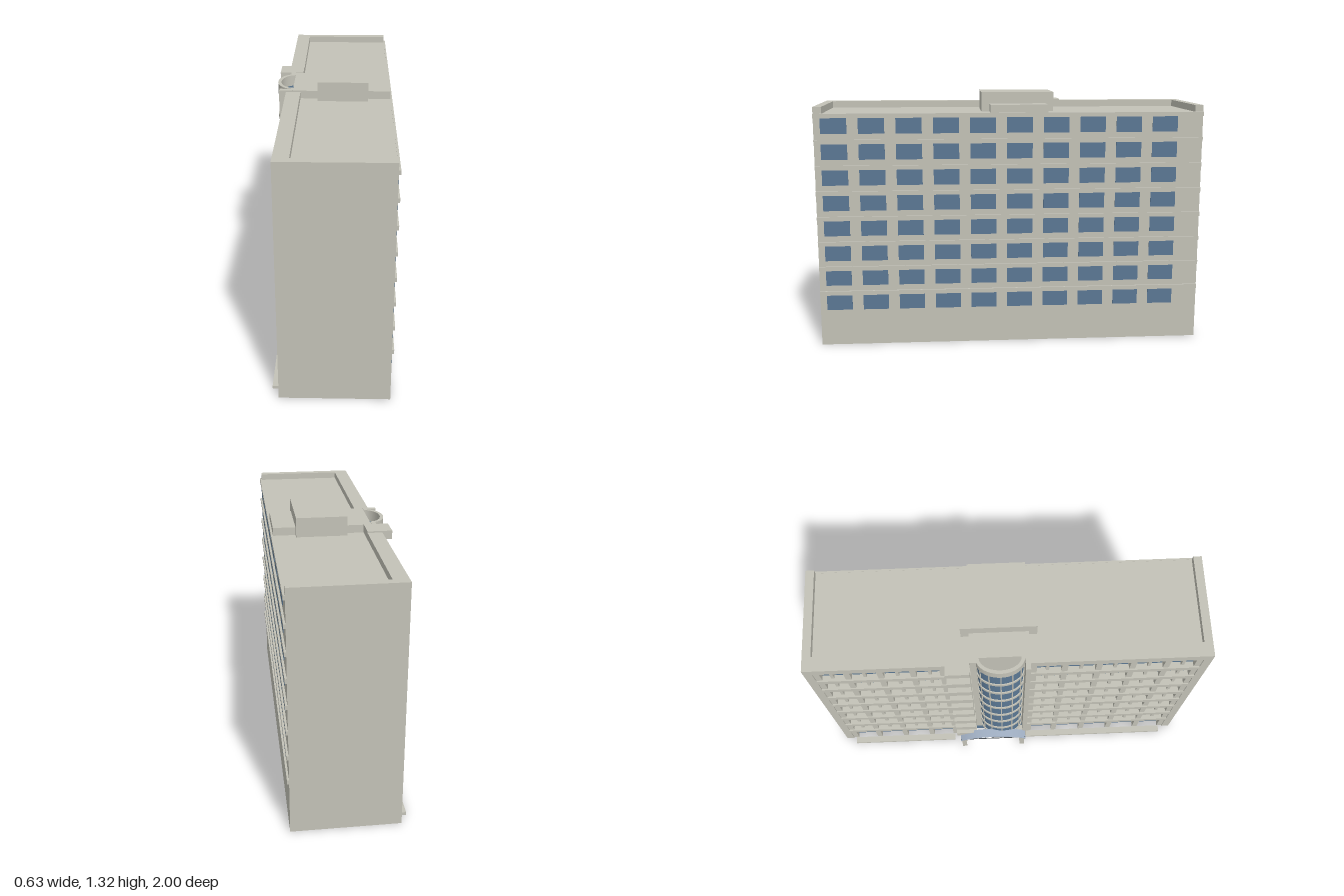
import * as THREE from 'three';

export function createModel() {
  const model = new THREE.Group();
  const concrete = new THREE.MeshStandardMaterial({ color: 0xc3c2b7 });
  concrete.name = 'concrete';
  const glass = new THREE.MeshStandardMaterial({ color: 0x5b7894 });
  glass.name = 'window glass';
  const canopyGlass = new THREE.MeshStandardMaterial({ color: 0xa3b2c6, side: THREE.DoubleSide });
  canopyGlass.name = 'canopy glass';
  const metal = new THREE.MeshStandardMaterial({ color: 0x4a4f55 });
  metal.name = 'dark metal';

  const add = (name, geometry, material) => {
    const mesh = new THREE.Mesh(geometry, material);
    mesh.name = name;
    model.add(mesh);
    return mesh;
  };
  // Box given by its limits on each axis
  const box = (name, x0, x1, y0, y1, z0, z1, material = concrete) => {
    const m = add(name, new THREE.BoxGeometry(x1 - x0, y1 - y0, z1 - z0), material);
    m.position.set((x0 + x1) / 2, (y0 + y1) / 2, (z0 + z1) / 2);
    return m;
  };

  const FLOORS = 8, STEP = 0.132, BAY = 0.189;
  const WALL = -0.2, FACE = -0.235, RIGHT = 0.305;

  // Main block, end walls and roof edges
  box('mainBlock', WALL, RIGHT, 0, 1.215, -1, 1);
  for (const s of [-1, 1]) {
    const a = s < 0 ? -1 : 0.957, b = s < 0 ? -0.957 : 1;
    box('endWall', FACE, WALL, 0, 1.2, a, b);
    box('endParapet', -0.16, RIGHT, 1.215, 1.25, a, b);
  }
  box('sideParapet', FACE, -0.16, 1.2, 1.25, -1, -0.19);
  box('sideParapet', FACE, -0.16, 1.2, 1.25, 0.105, 1);

  // Rooftop plant room on its low cross block
  box('roofCrossBlock', WALL, RIGHT, 1.21, 1.256, -0.19, 0.105);
  box('plantRoom', -0.07, 0.19, 1.215, 1.315, -0.23, 0.147);

  // Plain long side: window grid with a ledge above each row
  for (let f = 0; f < FLOORS; f++) {
    const y = 0.19 + f * STEP;
    box('windowLedge', RIGHT, 0.315, y + 0.08, y + 0.102, -1, 1);
    for (let i = 0; i < 10; i++) {
      const z = 0.9 - i * BAY;
      box('sideWindow', RIGHT, 0.308, y, y + 0.08, z - 0.066, z + 0.066, glass);
    }
  }

  // Gallery side: two wings with bands, columns and recessed windows
  const wings = [[-0.957, -0.31, 4], [0.11, 0.957, 5]];
  for (const [z0, z1, bays] of wings) {
    const bay = (z1 - z0) / bays;
    box('groundGlass', WALL - 0.004, WALL, 0.01, 0.14, z0, z1, glass);
    for (let f = 0; f <= FLOORS; f++) {
      const y = 0.14 + f * STEP;
      if (f < FLOORS) {
        box('galleryBand', -0.237, WALL, y, y + 0.035, z0, z1);
        for (let i = 0; i < bays; i++) {
          const z = z0 + (i + 0.5) * bay;
          box('galleryWindow', WALL - 0.004, WALL, y + 0.035, y + STEP - 0.008, z - bay * 0.4, z + bay * 0.4, glass);
          box('windowMullion', WALL - 0.02, WALL, y + 0.035, y + STEP, z - 0.008, z + 0.008);
        }
      }
    }
    for (let i = 0; i <= bays; i++) {
      const z = THREE.MathUtils.clamp(z0 + i * bay, z0 + 0.015, z1 - 0.015);
      box('galleryColumn', -0.23, WALL, 0, 1.2, z - 0.015, z + 0.015);
    }
  }
  box('groundLedge', -0.27, FACE, 0, 0.016, -0.94, -0.33);
  box('groundLedge', -0.27, FACE, 0, 0.016, 0.11, 0.932);

  // Entrance glazing behind the canopy
  box('entranceGlass', WALL - 0.004, WALL, 0.005, 0.135, -0.3, 0.085, glass);

  // Stack of balconies with doors, and the slab above them
  for (let f = 0; f < FLOORS; f++) {
    const y = 0.14 + f * STEP;
    box('balcony', -0.283, WALL, y, y + 0.05, -0.31, -0.19);
    box('balconyDoor', WALL - 0.004, WALL, y + 0.05, y + 0.122, -0.295, -0.21, glass);
  }
  box('balconyRoof', -0.285, -0.16, 1.215, 1.258, -0.31, -0.19);

  // Walls framing the stair tower
  box('towerFin', -0.27, WALL, 0, 1.258, 0.082, 0.107);
  box('towerSideWall', -0.225, WALL, 0.14, 1.258, -0.19, -0.158);

  // Half-oval stair tower, hollow inside
  const towerZ = -0.04;
  const towerRing = (name, grow, y0, y1, material) => {
    const s = new THREE.Shape();
    s.absellipse(0, 0, 0.08 + grow, 0.116 + grow, Math.PI / 2, Math.PI * 1.5, false);
    s.absellipse(0, 0, 0.068, 0.104, Math.PI * 1.5, Math.PI / 2, true);
    const g = new THREE.ExtrudeGeometry(s, { depth: y1 - y0, bevelEnabled: false, curveSegments: 20 });
    g.rotateX(-Math.PI / 2);
    add(name, g, material).position.set(WALL, y0, towerZ);
  };
  towerRing('towerGlass', 0, 0.14, 1.2, glass);
  towerRing('towerParapet', 0.006, 1.2, 1.258, concrete);
  for (let f = 0; f < FLOORS; f++) {
    const y = 0.14 + f * STEP;
    towerRing('towerBand', 0.006, y, y + 0.022, concrete);
  }
  for (let i = 0; i <= 6; i++) {
    const a = Math.PI * (0.5 + i / 6);
    const m = box('towerMullion', -0.003, 0.003, 0.14, 1.2, -0.003, 0.003);
    m.position.x = WALL + 0.081 * Math.cos(a);
    m.position.z = towerZ + 0.117 * Math.sin(a);
    m.rotation.y = -a;
  }

  // Arched entrance canopy
  const R = 0.325, canopyZ = -0.095, half = 0.195;
  const spread = Math.asin(half / R), centreY = 0.21 - R;
  const arch = new THREE.Shape();
  arch.absarc(0, 0, R, Math.PI / 2 - spread, Math.PI / 2 + spread, false);
  arch.absarc(0, 0, R - 0.006, Math.PI / 2 + spread, Math.PI / 2 - spread, true);
  const vault = new THREE.ExtrudeGeometry(arch, { depth: 0.05, bevelEnabled: false, curveSegments: 24 });
  vault.rotateY(-Math.PI / 2);
  add('canopyVault', vault, canopyGlass).position.set(-0.268, centreY, canopyZ);

  // Canopy tie rod, struts, end beams and posts
  box('canopyTie', -0.312, -0.308, 0.146, 0.15, canopyZ - half, canopyZ + half, metal);
  for (let i = -3; i <= 3; i++) {
    const dz = i * 0.048;
    const top = centreY + Math.sqrt(R * R - dz * dz) - 0.005;
    box('canopyStrut', -0.312, -0.308, 0.148, top, canopyZ + dz - 0.002, canopyZ + dz + 0.002, metal);
  }
  for (const s of [-1, 1]) {
    const z = canopyZ + s * 0.175;
    box('canopyBeam', -0.315, FACE, 0.12, 0.146, z - 0.018, z + 0.018);
    box('canopyPost', -0.313, -0.308, 0, 0.12, z - 0.013, z + 0.013);
  }
  return model;
}
